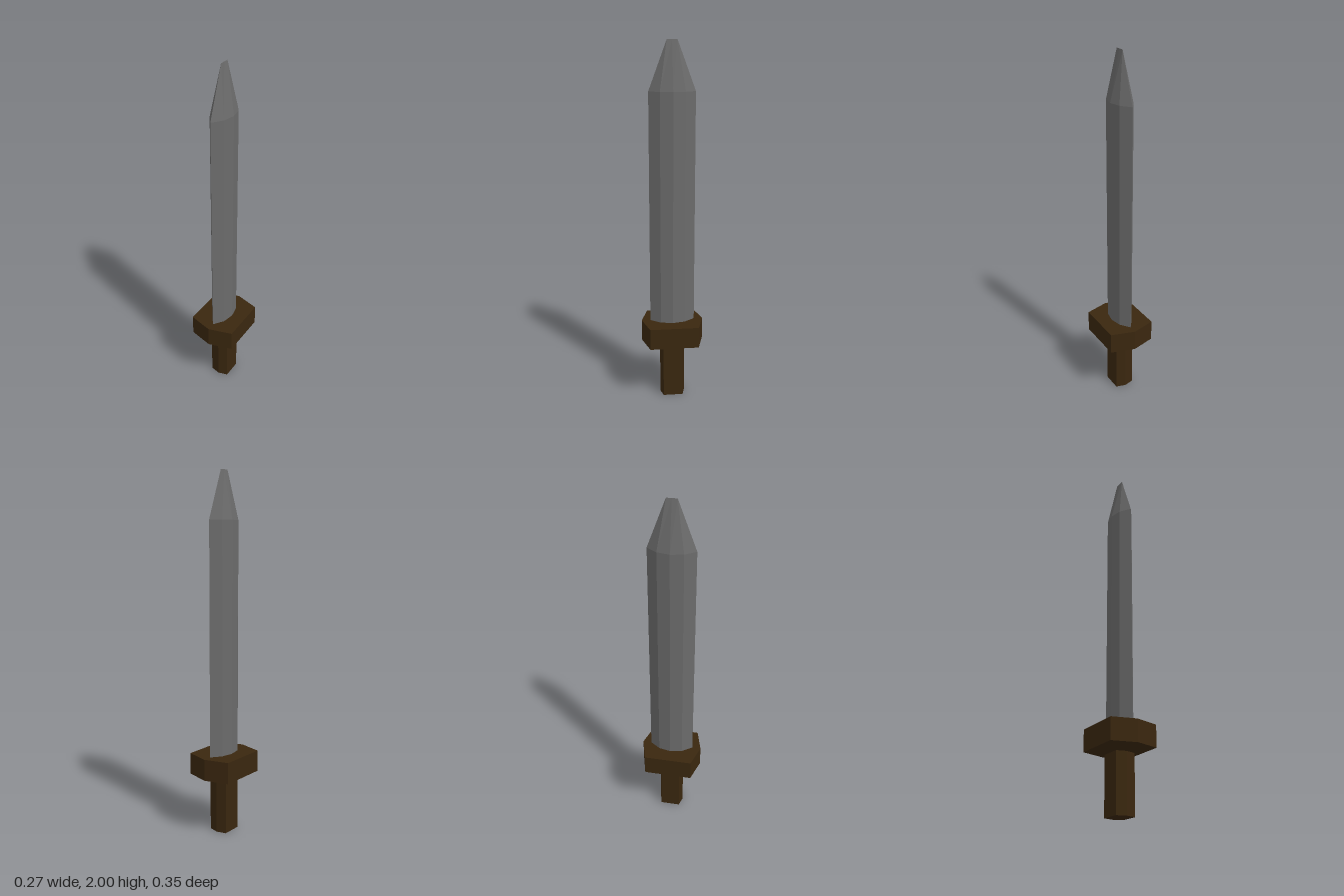
import * as THREE from 'three';

// Closed faceted solid through rings of [x, z] points, each ring at its own height.
function loft(rings) {
  const pos = [];
  const tri = (a, b, c) => {
    const area = b.clone().sub(a).cross(c.clone().sub(a)).length();
    if (area > 1e-7) for (const p of [a, b, c]) pos.push(p.x, p.y, p.z);
  };
  const loops = rings.map(({ y, pts }) => pts.map(([x, z]) => new THREE.Vector3(x, y, z)));
  const n = loops[0].length;
  // Side walls
  for (let r = 0; r < loops.length - 1; r++) {
    const lo = loops[r], up = loops[r + 1];
    for (let i = 0; i < n; i++) {
      const j = (i + 1) % n;
      tri(lo[i], up[i], lo[j]);
      tri(up[i], up[j], lo[j]);
    }
  }
  // End caps
  const first = loops[0], last = loops[loops.length - 1];
  for (let i = 1; i < n - 1; i++) {
    tri(first[0], first[i], first[i + 1]);
    tri(last[0], last[i + 1], last[i]);
  }
  const geo = new THREE.BufferGeometry();
  geo.setAttribute('position', new THREE.Float32BufferAttribute(pos, 3));
  geo.computeVertexNormals();
  return geo;
}

// Hexagon with flat sides at +-x and a point at each end of z.
const hexagon = (x, z, point) => [[x, -z], [x, z], [0, point], [-x, z], [-x, -z], [0, -point]];

// Eight-sided blade section: ridge half-width, shoulder and cutting edge.
const bladeSection = (ridge, sx, sz, edge) => [
  [ridge, 0], [sx, sz], [0, edge], [-sx, sz], [-ridge, 0], [-sx, -sz], [0, -edge], [sx, -sz],
];

export function createModel() {
  const group = new THREE.Group();
  const steel = new THREE.MeshStandardMaterial({ color: 0x6b6b6b, flatShading: true });
  const wood = new THREE.MeshStandardMaterial({ color: 0x3a270f, flatShading: true });
  const add = (name, material, rings) => {
    const mesh = new THREE.Mesh(loft(rings), material);
    mesh.name = name;
    group.add(mesh);
  };

  const gripSection = hexagon(0.055, 0.055, 0.07);
  const guardSection = hexagon(0.135, 0.136, 0.174);
  const body = bladeSection(0.055, 0.041, 0.068, 0.125);

  // Straight hexagonal handle
  add('grip', wood, [{ y: 0, pts: gripSection }, { y: 0.315, pts: gripSection }]);

  // Guard block with a shallow sloping underside
  add('guard', wood, [
    { y: 0.315, pts: gripSection },
    { y: 0.335, pts: guardSection },
    { y: 0.455, pts: guardSection },
  ]);

  // Blade, closing to a short chisel edge along z
  add('blade', steel, [
    { y: 0.45, pts: body },
    { y: 1.74, pts: body },
    { y: 2, pts: bladeSection(0, 0, 0.028, 0.028) },
  ]);

  return group;
}
